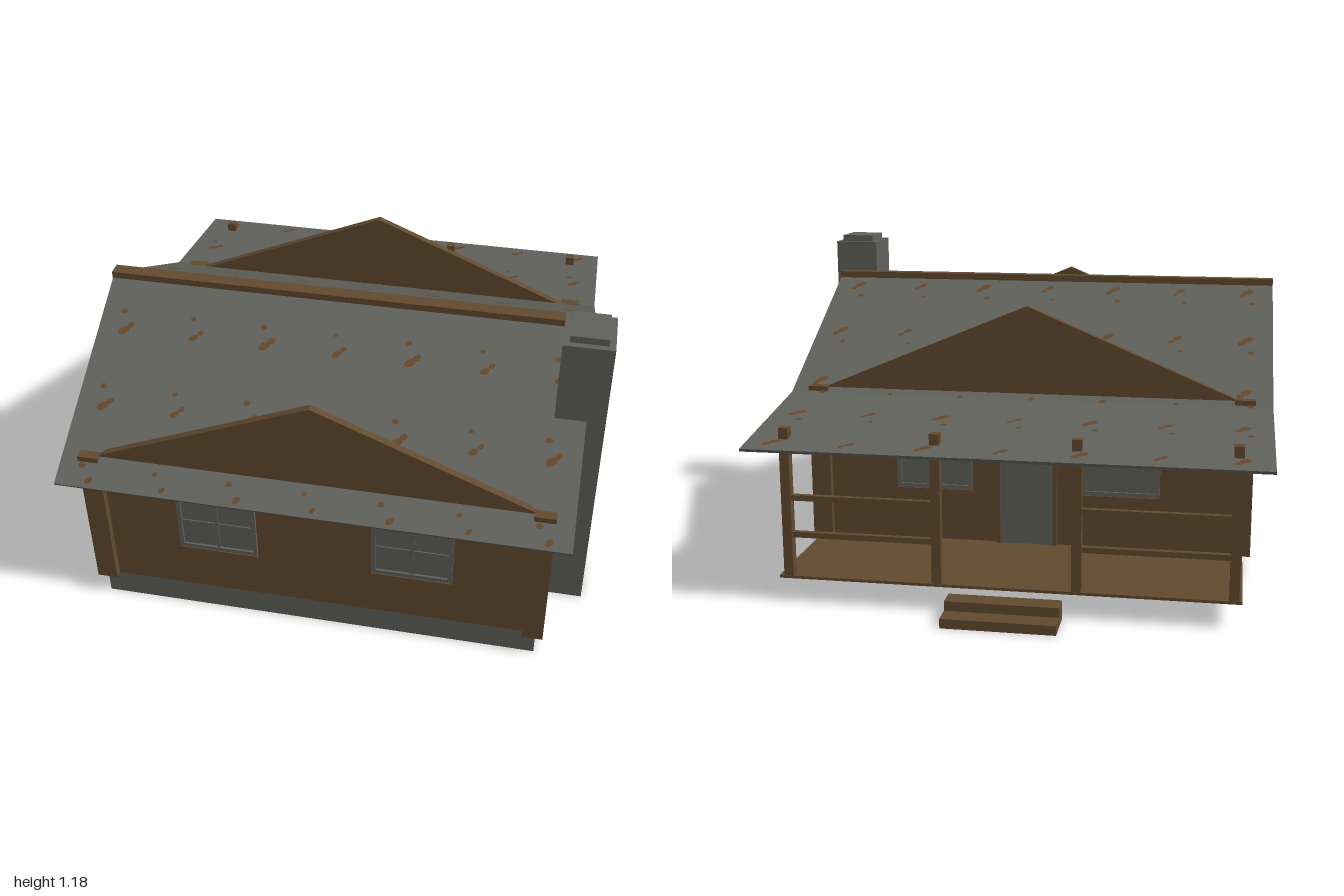
import * as THREE from 'three';
import { mergeGeometries } from 'three/addons/utils/BufferGeometryUtils.js';

const mat = (name, color) => {
  const m = new THREE.MeshStandardMaterial({ color });
  m.name = name;
  return m;
};

export function createModel() {
  const wood = mat('brownWood', 0x634b2f);
  const stone = mat('greyStone', 0x62635d);
  const rust = mat('roofPatch', 0x68492a);
  const house = new THREE.Group();
  house.name = 'cabin';

  // Box given by its minimum and maximum on each axis
  const box = (name, m, x0, x1, y0, y1, z0, z1, parent = house) => {
    const mesh = new THREE.Mesh(new THREE.BoxGeometry(x1 - x0, y1 - y0, z1 - z0), m);
    mesh.position.set((x0 + x1) / 2, (y0 + y1) / 2, (z0 + z1) / 2);
    mesh.name = name;
    parent.add(mesh);
    return mesh;
  };
  const CX = -0.035;
  const MZ = 0.255;

  // Foundation and hollow walls
  box('foundation', stone, -0.845, 0.775, 0, 0.1, -0.38, 0.89);
  for (const [n, z] of [['frontWall', 0.855], ['backWall', -0.38]])
    box(n, wood, -0.845, 0.775, 0.1, 0.67, z, z + 0.035);
  for (const [n, x] of [['leftWall', 0.74], ['rightWall', -0.845]])
    box(n, wood, x, x + 0.035, 0.1, 0.67, -0.345, 0.855);
  for (const x of [-0.873, 0.727])
    for (const z of [-0.405, 0.842])
      box('cornerPost', wood, x, x + 0.075, 0.1, 0.69, z, z + 0.076);

  // Gable triangles above the front and back walls
  const tri = new THREE.Shape([
    new THREE.Vector2(-0.845, 0.67), new THREE.Vector2(0.775, 0.67), new THREE.Vector2(CX, 1.01)]);
  for (const z of [0.868, -0.383]) {
    const gable = new THREE.Mesh(
      new THREE.ExtrudeGeometry(tri, { depth: 0.027, bevelEnabled: false }), wood);
    gable.position.z = z;
    gable.name = 'gable';
    house.add(gable);
  }

  // Window built facing +z around its own centre, passing through the wall
  const addWindow = (x, z, turn) => {
    const g = new THREE.Group();
    g.name = 'window';
    const w = 0.145, h = 0.125, f = 0.016;
    box('glass', stone, -w + f, w - f, -h + f, h - f, -0.022, 0.022, g);
    for (const s of [-1, 1]) {
      const a = s * (w - f / 2), b = s * (h - f / 2);
      box('frameSide', stone, a - f / 2, a + f / 2, -h, h, -0.03, 0.03, g);
      box('frameRail', stone, -w + f, w - f, b - f / 2, b + f / 2, -0.03, 0.03, g);
    }
    box('mullion', stone, -0.006, 0.006, -h + f, h - f, -0.026, 0.026, g);
    box('crossbar', stone, -w + f, w - f, -0.006, 0.006, -0.026, 0.026, g);
    box('sill', wood, -w, w, -h - 0.012, -h, -0.03, 0.034, g);
    g.position.set(x, 0.428, z);
    g.rotation.y = turn;
    house.add(g);
  };
  for (const x of [CX - 0.355, CX + 0.355]) {
    addWindow(x, 0.872, 0);
    addWindow(x, -0.362, Math.PI);
  }
  addWindow(0.757, MZ, Math.PI / 2);
  addWindow(-0.827, MZ, -Math.PI / 2);

  // Door on the porch side
  box('door', stone, CX - 0.1, CX + 0.1, 0.1, 0.52, -0.39, -0.34);
  for (const s of [-1, 1])
    box('doorJamb', wood, CX + s * 0.108 - 0.008, CX + s * 0.108 + 0.008, 0.1, 0.52, -0.4, -0.335);
  box('doorHead', wood, CX - 0.116, CX + 0.116, 0.52, 0.536, -0.4, -0.335);

  // One flat patch lying on a roof panel
  const patch = (x, y, z, rx, rz, turn) =>
    new THREE.CircleGeometry(1, 7).scale(rx, rz, 1).rotateZ(turn).rotateX(-Math.PI / 2).translate(x, y, z);

  // Sloped roof panel from (z0, y0) to (z1, y1) with a regular scatter of patches
  const T = 0.01;
  const roofPanel = (name, z0, y0, z1, y1, clear0, clear1) => {
    const g = new THREE.Group();
    g.name = name;
    const len = Math.hypot(z1 - z0, y1 - y0), k = len / (z1 - z0), mid = (z0 + z1) / 2;
    box('panel', stone, -0.935, 0.865, -T / 2, T / 2, -len / 2, len / 2, g);
    const spots = [];
    const put = (x, z, rx, rz, turn) => {
      if (z > z0 + clear0 && z < z1 - clear1) spots.push(patch(x, T / 2 + 0.0015, (z - mid) * k, rx, rz, turn));
    };
    for (let i = 0; i < 7; i++)
      for (let j = 0; j < 8; j++) {
        const x = -0.83 + i * 0.267, z = -0.885 + j * 0.267, s = i % 2 ? 0.8 : 1;
        put(x - 0.008, z + 0.01, 0.024 * s, 0.015 * s, 0.6);
        put(x + 0.014, z - 0.01, 0.017 * s, 0.012 * s, 0.8);
        put(x - 0.024, z - 0.057, 0.013 * s, 0.011 * s, 0);
      }
    const mesh = new THREE.Mesh(mergeGeometries(spots), rust);
    mesh.name = 'roofPatches';
    g.add(mesh);
    g.position.set(0, (y0 + y1) / 2, mid);
    g.rotation.x = Math.atan2(y0 - y1, z1 - z0);
    house.add(g);
  };
  roofPanel('frontRoof', MZ, 1.03, 0.998, 0.62, 0.03, 0.015);
  roofPanel('backRoof', -0.488, 0.62, MZ, 1.03, 0.02, 0.03);
  roofPanel('porchRoof', -0.945, 0.578, -0.38, 0.667, 0.015, 0.04);
  box('ridgeBeam', wood, -0.935, 0.865, 1.025, 1.05, MZ - 0.026, MZ + 0.026);

  // Chimney
  box('chimney', stone, 0.755, 0.93, 0, 1.16, 0.392, 0.588);
  box('chimneyCap', stone, 0.777, 0.908, 1.16, 1.185, 0.415, 0.565);

  // Porch: deck, posts, top beam, railings on the outer bays, steps
  box('porchDeck', wood, -0.845, 0.775, 0.09, 0.1, -0.855, -0.38);
  const posts = [-0.817, -0.282, 0.207, 0.742];
  for (const x of posts) box('porchPost', wood, x - 0.017, x + 0.017, 0.1, 0.637, -0.853, -0.819);
  box('porchBeam', wood, -0.834, 0.759, 0.555, 0.585, -0.85, -0.822);
  for (const i of [0, 2])
    for (const y of [0.25, 0.385])
      box('porchRail', wood, posts[i], posts[i + 1], y - 0.01, y + 0.01, -0.846, -0.826);
  box('upperStep', wood, -0.235, 0.163, 0, 0.068, -0.927, -0.855);
  box('lowerStep', wood, -0.235, 0.163, 0, 0.034, -1, -0.927);

  return house;
}
